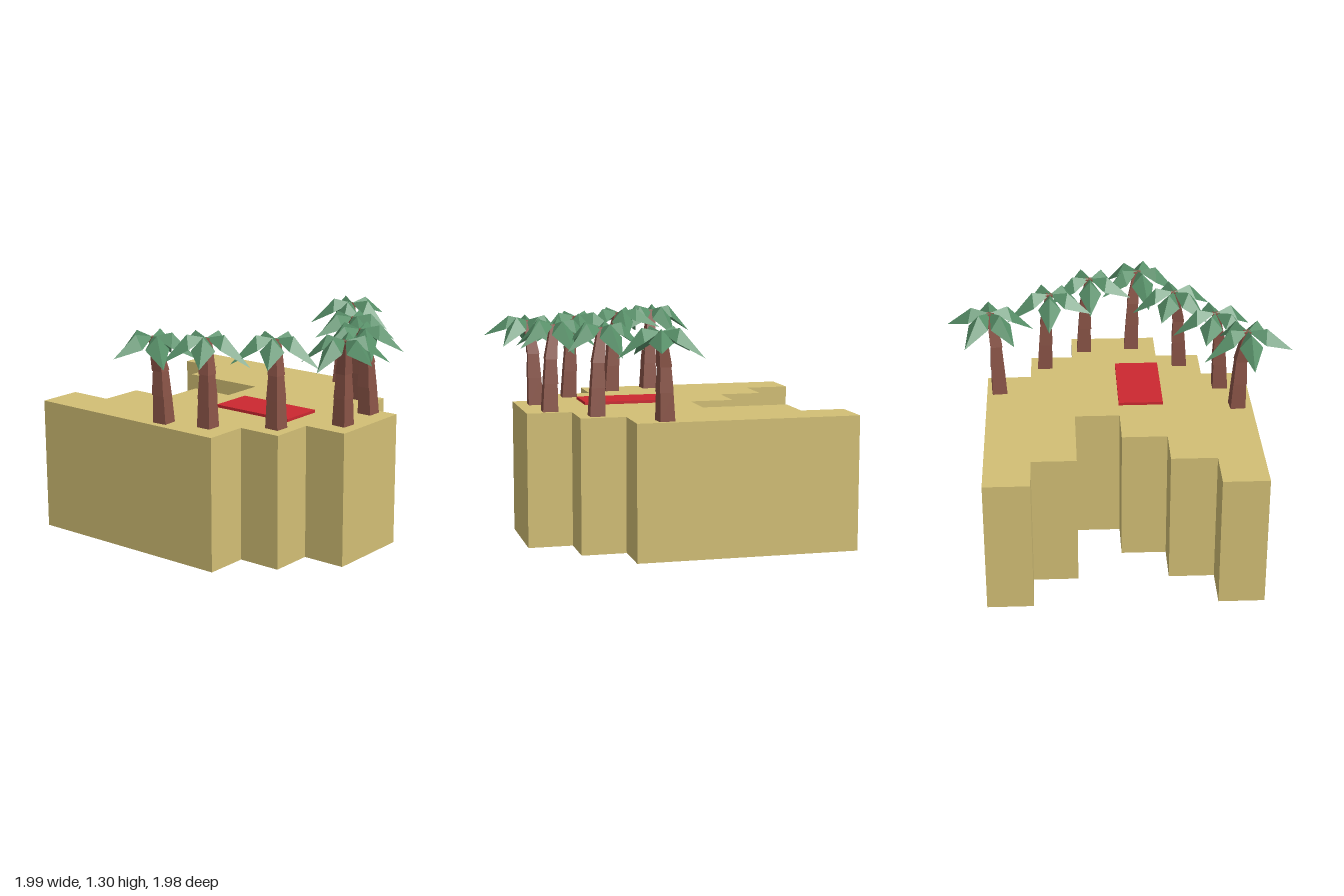
import * as THREE from 'three';

const GROUND = 0.78;
const material = (color, side = THREE.FrontSide) =>
  new THREE.MeshStandardMaterial({ color, flatShading: true, side });
const sand = material(0xd2bf75);
const red = material(0xcc2830);
const bark = material(0x8a5447);
const green = material(0x578f68, THREE.DoubleSide);

function part(name, geometry, mat) {
  const mesh = new THREE.Mesh(geometry, mat);
  mesh.name = name;
  return mesh;
}

// Stepped block: columns of equal width, each with its own back and front edge
function createIsland() {
  const x = [-0.79, -0.53, -0.27, -0.01, 0.25, 0.505, 0.765];
  const back = [-1, -0.74, -0.485, -0.225, -0.74, -1];
  const front = [0.29, 0.55, 0.81, 0.81, 0.55, 0.29];
  const points = [];
  front.forEach((z, i) => points.push([x[i], -z], [x[i + 1], -z]));
  for (let i = 5; i >= 0; i--) points.push([x[i + 1], -back[i]], [x[i], -back[i]]);
  // drop points that repeat or lie inside a straight edge
  const corners = points.filter(([px, py], i) => {
    const [ax, ay] = points[(i + points.length - 1) % points.length];
    const [bx, by] = points[(i + 1) % points.length];
    return Math.abs((px - ax) * (by - py) - (py - ay) * (bx - px)) > 1e-6;
  });
  const shape = new THREE.Shape(corners.map(([px, py]) => new THREE.Vector2(px, py)));
  const geometry = new THREE.ExtrudeGeometry(shape, { depth: GROUND, bevelEnabled: false });
  geometry.rotateX(-Math.PI / 2);
  return part('island', geometry, sand);
}

// Square trunk piece leaning along the diagonal from offset d0 to d1
function trunkPiece(y0, y1, w0, w1, d0, d1) {
  const geometry = new THREE.BoxGeometry(1, 1, 1);
  const p = geometry.attributes.position;
  for (let i = 0; i < p.count; i++) {
    const top = p.getY(i) > 0;
    const w = top ? w1 : w0;
    const d = top ? d1 : d0;
    p.setXYZ(i, p.getX(i) * w + d, top ? y1 : y0, p.getZ(i) * w + d);
  }
  geometry.computeVertexNormals();
  return geometry;
}

// Folded leaf pointing along +x, with a raised ridge and drooping tip
function leafGeometry(length, tipY) {
  const c = [0, 1.275, 0];
  const ridge = [0.11, 1.3, 0];
  const l = [0.115, 1.225, 0.068];
  const r = [0.115, 1.225, -0.068];
  const tip = [length, tipY, 0];
  const corners = [c, l, ridge, ridge, l, tip, c, ridge, r, ridge, tip, r];
  const geometry = new THREE.BufferGeometry();
  geometry.setAttribute('position', new THREE.Float32BufferAttribute(corners.flat(), 3));
  geometry.computeVertexNormals();
  return geometry;
}

const trunkPieces = [
  trunkPiece(GROUND, 0.94, 0.088, 0.076, 0.04, 0.035),
  trunkPiece(0.94, 1.085, 0.08, 0.062, 0.033, 0.03),
  trunkPiece(1.08, 1.275, 0.07, 0.042, 0.03, 0.004),
];

// Leaf angle in degrees, length, tip height
const leaves = [
  [60, 0.25, 1.15],
  [129, 0.255, 1.14],
  [198, 0.26, 1.182],
  [270, 0.247, 1.135],
  [345, 0.267, 1.125],
].map(([angle, length, tipY]) => ({ angle, geometry: leafGeometry(length, tipY) }));

function createPalm(x, z, turn) {
  const palm = new THREE.Group();
  palm.name = 'palmTree';
  trunkPieces.forEach((g) => palm.add(part('trunk', g, bark)));
  leaves.forEach(({ angle, geometry }) => {
    const leaf = part('leaf', geometry, green);
    leaf.rotation.y = -THREE.MathUtils.degToRad(angle);
    palm.add(leaf);
  });
  palm.position.set(x, 0, z);
  palm.rotation.y = -THREE.MathUtils.degToRad(turn);
  return palm;
}

export function createModel() {
  const model = new THREE.Group();
  model.name = 'palmIsland';
  model.add(createIsland());

  // Flat red mat
  const mat = part('mat', new THREE.BoxGeometry(0.26, 0.025, 0.52), red);
  mat.position.set(-0.14, GROUND + 0.004, 0.16);
  model.add(mat);

  // Palms: crown x, crown z, turn in degrees
  const palms = [
    [-0.745, -0.165, -4],
    [-0.585, 0.09, 89],
    [-0.365, 0.405, 92],
    [-0.165, 0.735, -87],
    [0.135, 0.625, 1],
    [0.38, 0.4, 2],
    [0.735, 0.15, 175],
  ];
  palms.forEach((p) => model.add(createPalm(...p)));
  return model;
}
